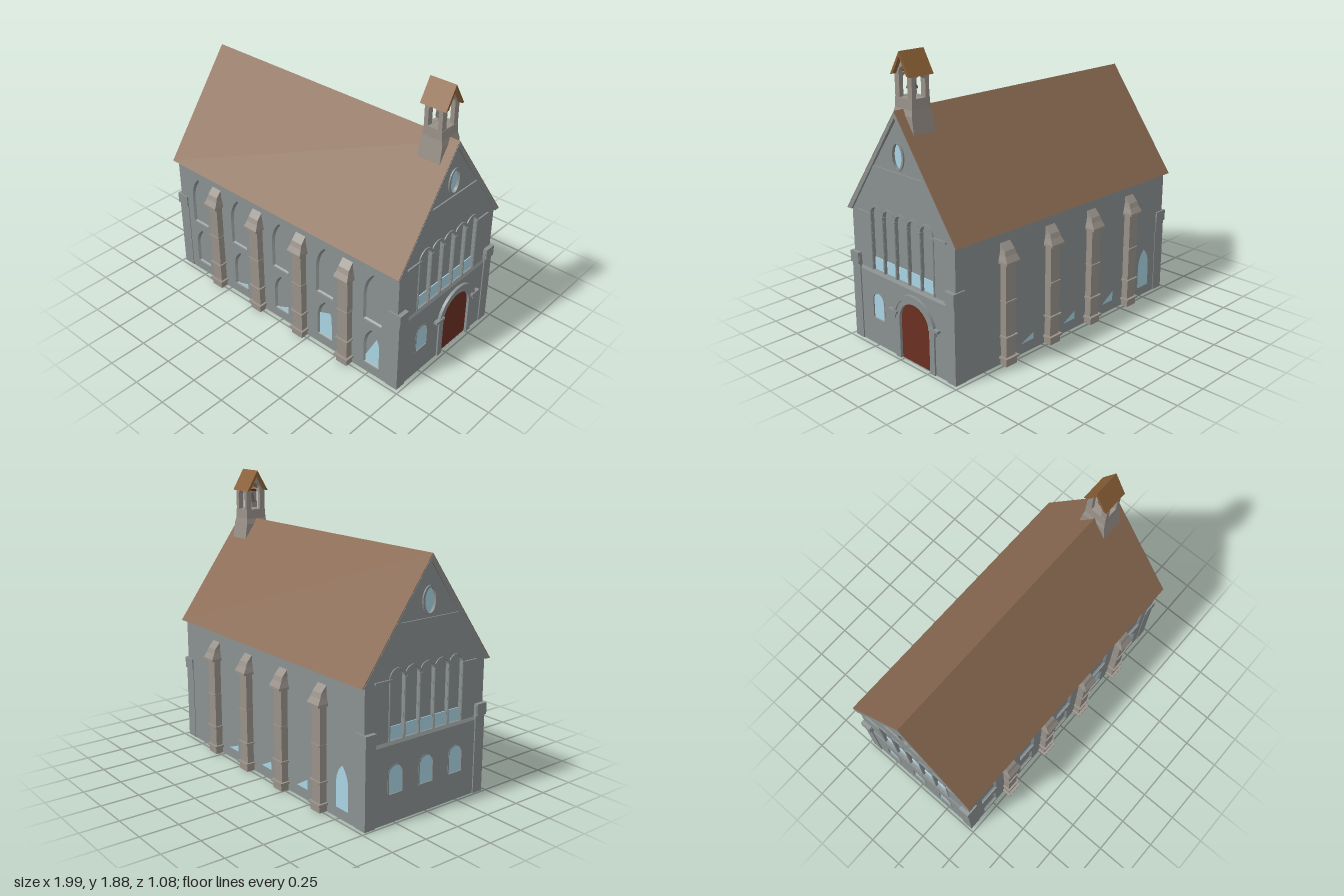
import * as THREE from 'three';

const mat = (color) => new THREE.MeshStandardMaterial({ color, side: THREE.DoubleSide });
const M = {
  wall: mat(0x8a9090), stone: mat(0x989189), roof: mat(0x8a6a52), tile: mat(0x8a5f36),
  glass: mat(0xa9d3e2), door: mat(0x6b2f22), bell: mat(0x6a655d),
};

function add(parent, name, geometry, material, x = 0, y = 0, z = 0) {
  const mesh = new THREE.Mesh(geometry, material);
  mesh.name = name;
  mesh.position.set(x, y, z);
  parent.add(mesh);
  return mesh;
}
function group(parent, name, rotY = 0) {
  const g = new THREE.Group();
  g.name = name;
  g.rotation.y = rotY;
  parent.add(g);
  return g;
}
// box given by its limits
function block(parent, name, material, [x0, x1], [y0, y1], [z0, z1]) {
  return add(parent, name, new THREE.BoxGeometry(x1 - x0, y1 - y0, z1 - z0), material,
    (x0 + x1) / 2, (y0 + y1) / 2, (z0 + z1) / 2);
}
const poly = (pts) => new THREE.Shape(pts.map(([x, y]) => new THREE.Vector2(x, y)));
const rect = (x0, x1, y0, y1) => poly([[x0, y0], [x1, y0], [x1, y1], [x0, y1]]);
const extrude = (shape, depth) =>
  new THREE.ExtrudeGeometry(shape, { depth, bevelEnabled: false, curveSegments: 14 });

// arched outline; round when no top is given, pointed otherwise
function arch(u, y0, hw, spring, top) {
  const s = new THREE.Shape();
  s.moveTo(u - hw, y0);
  s.lineTo(u + hw, y0);
  s.lineTo(u + hw, spring);
  if (top === undefined) s.absarc(u, spring, hw, 0, Math.PI, false);
  else {
    const bend = spring + (top - spring) * 0.62;
    s.quadraticCurveTo(u + hw, bend, u, top);
    s.quadraticCurveTo(u - hw, bend, u - hw, spring);
  }
  s.closePath();
  return s;
}
const ellipse = (u, y, a, b) => new THREE.Shape().absellipse(u, y, a, b, 0, Math.PI * 2);
function ring(outer, inner) {
  outer.holes.push(inner);
  return outer;
}
function halfRing(u, y, r0, r1) {
  const s = new THREE.Shape();
  s.absarc(u, y, r1, 0, Math.PI, false);
  s.absarc(u, y, r0, Math.PI, 0, true);
  s.closePath();
  return s;
}

// flat-shaded skin through closed loops of points [x, y, z]
function loft(loops) {
  const pos = [];
  for (let i = 0; i + 1 < loops.length; i++) {
    const a = loops[i], b = loops[i + 1], n = a.length;
    for (let j = 0; j < n; j++) {
      const k = (j + 1) % n;
      pos.push(...a[j], ...a[k], ...b[k], ...a[j], ...b[k], ...b[j]);
    }
  }
  const g = new THREE.BufferGeometry();
  g.setAttribute('position', new THREE.Float32BufferAttribute(pos, 3));
  g.computeVertexNormals();
  return g;
}
const rectLoop = (hx, hz, y) => [[-hx, y, hz], [hx, y, hz], [hx, y, -hz], [-hx, y, -hz]];

// stepped buttress against a long wall
function buttress(parent, x) {
  const g = group(parent, 'buttress');
  g.position.x = x;
  const levels = [[0, 0.04, 0.517], [0.66, 0.04, 0.517], [0.66, 0.055, 0.541], [0.675, 0.055, 0.541],
    [0.71, 0.046, 0.52], [0.74, 0.041, 0.508], [0.785, 0.04, 0.468]];
  add(g, 'buttressShaft', loft(levels.map(([y, w, z]) =>
    [[-w, y, z], [w, y, z], [w, y, 0.46], [-w, y, 0.46]])), M.stone);
  for (const [y, w, z, h] of [[0.05, 0.055, 0.535, 0.014], [0.19, 0.05, 0.53, 0.012], [0.42, 0.043, 0.525, 0.008]])
    block(g, 'buttressBand', M.stone, [-w, w], [y - h / 2, y + h / 2], [0.46, z]);
  block(g, 'buttressPlinth', M.stone, [-0.044, 0.044], [0, 0.043], [0.46, 0.524]);
}

// gable end, drawn facing +z and turned outwards
function gableEnd(parent, name, rotY, hasDoor) {
  const g = group(parent, name, rotY);
  const bays = [-2, -1, 0, 1, 2].map((i) => i * 0.115);
  const wall = poly([[-0.47, 0], [0.47, 0], [0.47, 0.855], [0, 1.505], [-0.47, 0.855]]);
  for (const u of bays) wall.holes.push(arch(u, 0.5, 0.051, 0.865));
  wall.holes.push(ellipse(0, 1.28, 0.042, 0.075));
  add(g, 'gableWall', extrude(wall, 0.02), M.wall, 0, 0, 0.945);

  // arcade
  for (const u of bays) {
    block(g, 'arcadeGlass', M.glass, [u - 0.051, u + 0.051], [0.5, 0.58], [0.944, 0.951]);
    add(g, 'arcadeArch', extrude(halfRing(u, 0.865, 0.05, 0.064), 0.01), M.wall, 0, 0, 0.962);
  }
  for (let i = 0; i < 6; i++) {
    const u = (i - 2.5) * 0.115;
    add(g, 'arcadeColumn', new THREE.CylinderGeometry(0.006, 0.006, 0.36, 8), M.wall, u, 0.68, 0.966);
    block(g, 'arcadeCapital', M.wall, [u - 0.011, u + 0.011], [0.855, 0.868], [0.955, 0.976]);
  }
  for (const s of [-1, 1])
    add(g, 'stringCourse', new THREE.BoxGeometry(0.11, 0.012, 0.014), M.wall, s * 0.345, 0.862, 0.968);

  // gable band and oval window
  add(g, 'gableBand', extrude(poly([[-0.25, 1.16], [0.25, 1.16], [0.235, 1.18], [-0.235, 1.18]]), 0.012),
    M.wall, 0, 0, 0.962);
  add(g, 'ovalFrame', extrude(ring(ellipse(0, 1.28, 0.058, 0.087), ellipse(0, 1.28, 0.042, 0.075)), 0.012),
    M.wall, 0, 0, 0.962);
  add(g, 'ovalGlass', new THREE.ShapeGeometry(ellipse(0, 1.28, 0.042, 0.075), 16), M.glass, 0, 0, 0.955);

  // projecting lower storey
  const windows = hasDoor ? [-0.235] : [-0.24, 0, 0.24];
  const lower = rect(-0.4, 0.4, 0, 0.48);
  for (const u of windows) lower.holes.push(arch(u, 0.175, 0.056, 0.3));
  if (hasDoor) lower.holes.push(arch(0.115, 0.001, 0.137, 0.258));
  add(g, 'lowerWall', extrude(lower, 0.011), M.wall, 0, 0, 0.964);
  add(g, 'ledge', loft([
    [[-0.4, 0.48, 0.975], [0.4, 0.48, 0.975], [0.4, 0.48, 0.96], [-0.4, 0.48, 0.96]],
    [[-0.4, 0.5, 0.966], [0.4, 0.5, 0.966], [0.4, 0.5, 0.96], [-0.4, 0.5, 0.96]]]), M.wall);
  for (const u of windows) {
    add(g, 'lowerWindow', new THREE.ShapeGeometry(arch(u, 0.175, 0.056, 0.3), 12), M.glass, 0, 0, 0.967);
    add(g, 'windowFrame', extrude(ring(arch(u, 0.172, 0.06, 0.3), arch(u, 0.178, 0.052, 0.3)), 0.008),
      M.wall, 0, 0, 0.969);
  }
  if (!hasDoor) return;
  // door with jambs, imposts and hood
  const u = 0.115;
  add(g, 'door', new THREE.ShapeGeometry(arch(u, 0, 0.137, 0.258), 20), M.door, 0, 0, 0.968);
  add(g, 'doorArch', extrude(halfRing(u, 0.258, 0.137, 0.175), 0.016), M.wall, 0, 0, 0.97);
  add(g, 'doorHood', extrude(halfRing(u, 0.258, 0.172, 0.194), 0.024), M.wall, 0, 0, 0.97);
  for (const s of [-1, 1]) {
    add(g, 'doorJamb', new THREE.BoxGeometry(0.043, 0.3, 0.016), M.wall, u + s * 0.1585, 0.15, 0.978);
    add(g, 'doorImpost', new THREE.BoxGeometry(0.08, 0.018, 0.032), M.wall, u + s * 0.188, 0.3, 0.985);
  }
}

// recessed pointed window with splayed edges
function splay(parent, u, y0, hw, spring, top) {
  const loop = (d, z) => arch(u, y0 + d, hw - d, spring, top - d * 1.3).getPoints(12)
    .slice(0, -1).map((p) => [p.x, p.y, z]);
  add(parent, 'windowSplay', loft([loop(0, 0.47), loop(0.012, 0.4555)]), M.wall);
}

function bellcote(parent) {
  const g = group(parent, 'bellcote');
  g.position.x = 0.845;
  add(g, 'bellcoteBase', loft([rectLoop(0.08, 0.1, 1.41), rectLoop(0.078, 0.092, 1.46), rectLoop(0.077, 0.083, 1.515),
    rectLoop(0.068, 0.077, 1.55), rectLoop(0.065, 0.075, 1.61), rectLoop(0.001, 0.001, 1.61)]), M.stone);
  // two gabled frames with an arched opening, joined over the sides
  const frame = poly([[-0.075, 1.6], [0.075, 1.6], [0.075, 1.745], [0, 1.87], [-0.075, 1.745]]);
  frame.holes.push(arch(0, 1.612, 0.036, 1.755));
  const leg = extrude(frame, 0.028);
  for (const x of [-0.063, 0.035]) add(g, 'bellFrame', leg, M.stone, x).rotation.y = Math.PI / 2;
  for (const z of [-0.075, 0.04]) {
    const side = rect(-0.063, 0.063, 1.6, 1.75);
    side.holes.push(arch(0, 1.612, 0.04, 1.7));
    add(g, 'bellFrameSide', extrude(side, 0.035), M.stone, 0, 0, z);
  }
  const cap = poly([[-0.084, 1.74], [-0.06, 1.745], [0, 1.85], [0.06, 1.745], [0.084, 1.74], [0, 1.88]]);
  add(g, 'bellcoteRoof', extrude(cap, 0.18), M.tile, -0.092).rotation.y = Math.PI / 2;
  // bell
  const profile = [[0.034, 1.66], [0.033, 1.668], [0.025, 1.682], [0.021, 1.705], [0.018, 1.722], [0.001, 1.73]];
  add(g, 'bell', new THREE.LatheGeometry(profile.map((p) => new THREE.Vector2(...p)), 20), M.bell);
  add(g, 'clapper', new THREE.SphereGeometry(0.008, 10, 8), M.bell, 0, 1.658, 0);
  add(g, 'bellYoke', new THREE.BoxGeometry(0.018, 0.014, 0.085), M.door, 0, 1.738, 0);
}

export function createModel() {
  const root = new THREE.Group();
  root.name = 'chapel';
  const church = group(root, 'building');
  church.position.x = -0.005;

  // core and front wall with window openings
  const core = poly([[-0.455, 0], [0.47, 0], [0.47, 0.855], [0, 1.5], [-0.455, 0.855]]);
  add(church, 'core', extrude(core, 1.89), M.wall, -0.945).rotation.y = Math.PI / 2;
  const front = rect(-0.945, 0.945, 0, 0.856);
  const centres = [-2, -1, 0, 1, 2].map((i) => i * 0.387);
  const upper = [0.405, 0.072, 0.585, 0.77], lower = [0.065, 0.062, 0.21, 0.352];
  for (const u of centres) for (const w of [upper, lower]) {
    front.holes.push(arch(u, ...w));
    splay(church, u, ...w);
    block(church, 'sill', M.wall, [u - w[1], u + w[1]], [w[0] - 0.004, w[0] + 0.004], [0.45, 0.474]);
  }
  add(church, 'frontWall', extrude(front, 0.015), M.wall, 0, 0, 0.455);

  // panes
  const pane = (parent, shape, z) => add(parent, 'pane', new THREE.ShapeGeometry(shape, 12), M.glass, 0, 0, z);
  const sliver = (u, h) => poly([[u - 0.055, 0.068], [u + 0.055, 0.068], [u + 0.055, h]]);
  pane(church, sliver(centres[1], 0.107), 0.459);
  pane(church, sliver(centres[2], 0.122), 0.459);
  pane(church, poly([[0.334, 0.068], [0.44, 0.068], [0.435, 0.28], [0.334, 0.24]]), 0.459);
  pane(church, poly([[0.72, 0.068], [0.826, 0.068], [0.826, 0.23], [0.812, 0.3], [0.72, 0.12]]), 0.459);
  const back = group(church, 'backPanes', Math.PI);
  for (const i of [1, 2, 3]) pane(back, sliver(centres[i], 0.1 + 0.012 * i), 0.4715);
  pane(back, arch(centres[4], 0.065, 0.056, 0.21, 0.34), 0.4715);

  // buttresses on both long sides
  for (const r of [0, Math.PI]) {
    const side = group(church, r ? 'backButtresses' : 'frontButtresses', r);
    for (const i of [-1.5, -0.5, 0.5, 1.5]) buttress(side, i * 0.387 + (r ? 0.005 : -0.005));
  }

  // corner piers
  for (const sx of [-1, 1]) for (const sz of [-1, 1]) {
    add(church, 'cornerPier', new THREE.BoxGeometry(0.085, 0.57, 0.075), M.wall, sx * 0.94, 0.285, sz * 0.4365);
    add(church, 'pierCap', new THREE.BoxGeometry(0.093, 0.075, 0.078), M.wall, sx * 0.9455, 0.543, sz * 0.441);
  }

  gableEnd(church, 'doorEnd', Math.PI / 2, true);
  gableEnd(church, 'windowEnd', -Math.PI / 2, false);

  // roof
  const roof = poly([[-0.503, 0.855], [-0.46, 0.865], [0, 1.512], [0.46, 0.865], [0.503, 0.855], [0, 1.55]]);
  add(church, 'roof', extrude(roof, 1.964), M.roof, -0.982).rotation.y = Math.PI / 2;
  const verge = poly([[-0.495, 0.857], [-0.458, 0.857], [0, 1.508], [0.458, 0.857], [0.495, 0.857], [0, 1.543]]);
  for (const x of [-0.984, 0.97]) add(church, 'verge', extrude(verge, 0.014), M.wall, x).rotation.y = Math.PI / 2;
  bellcote(church);
  return root;
}
